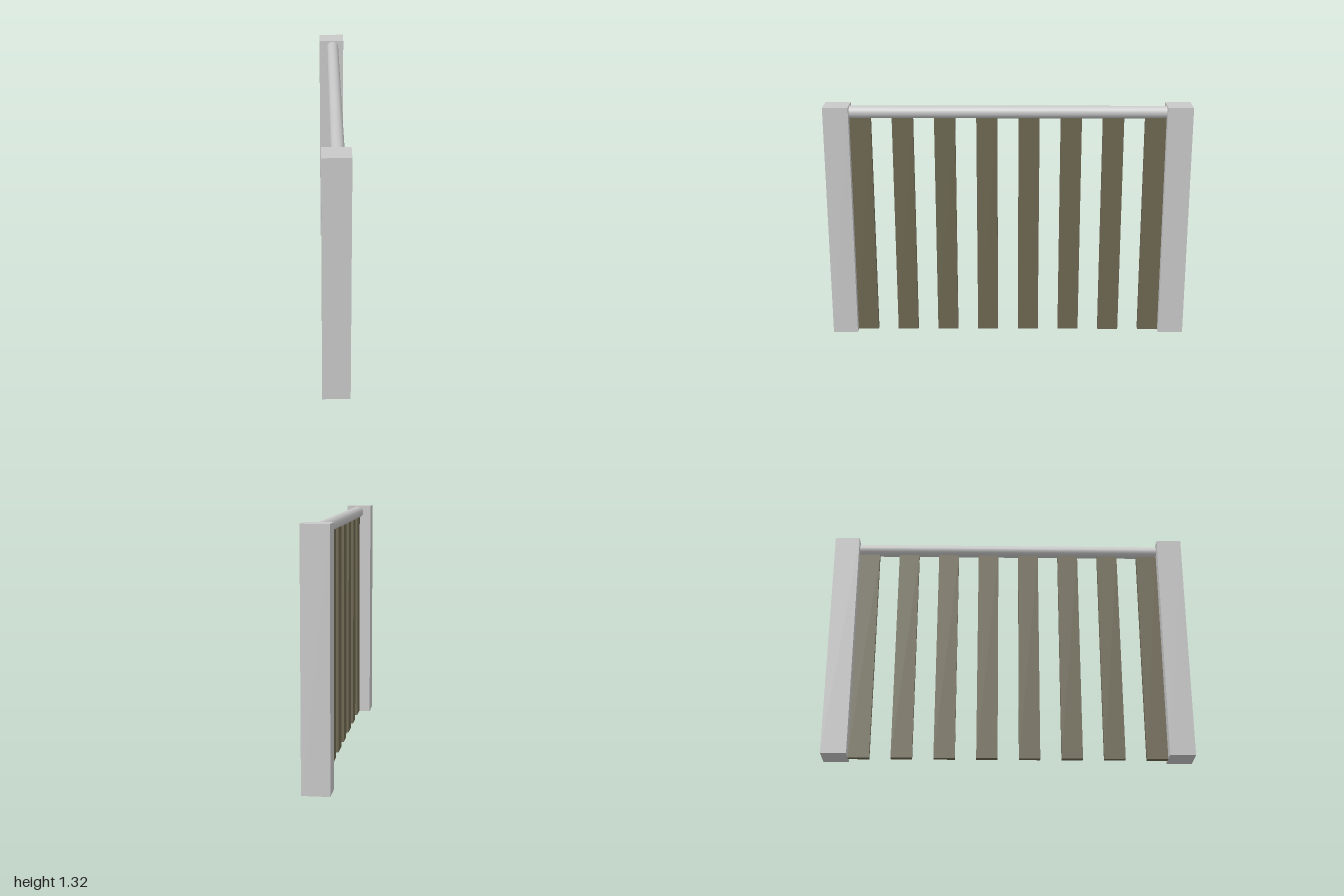
import * as THREE from 'three';

export function createModel() {
  const group = new THREE.Group();
  const postGrey = new THREE.MeshStandardMaterial({ color: 0xc8c8c8 });
  postGrey.name = 'light grey';
  const slatBrown = new THREE.MeshStandardMaterial({ color: 0x6d6751 });
  slatBrown.name = 'olive brown';

  const add = (name, geometry, material, x, y, z) => {
    const mesh = new THREE.Mesh(geometry, material);
    mesh.name = name;
    mesh.position.set(x, y, z);
    group.add(mesh);
    return mesh;
  };

  const postHeight = 1.317, postSize = 0.138, postWidth = 0.144;
  const inner = 1 - postSize;   // inner face of each post
  const railX = 0.007;          // rail and slats sit slightly off the post centre

  // Square end posts
  const postGeometry = new THREE.BoxGeometry(postWidth, postHeight, postSize);
  for (const side of [1, -1]) {
    add(side > 0 ? 'frontPost' : 'backPost', postGeometry, postGrey,
      0, postHeight / 2, side * (1 - postSize / 2));
  }

  // Round top rail between the posts
  const railGeometry = new THREE.CylinderGeometry(0.034, 0.034, 2 * inner, 32);
  railGeometry.rotateX(Math.PI / 2);
  add('topRail', railGeometry, postGrey, railX, 1.279, 0);

  // Evenly spaced flat slats, the outer two touching the posts
  const slatCount = 8, slatWidth = 0.115, slatHeight = 1.255;
  const slatGeometry = new THREE.BoxGeometry(0.03, slatHeight, slatWidth);
  const firstZ = inner - slatWidth / 2;
  for (let i = 0; i < slatCount; i++) {
    const z = firstZ * (1 - (2 * i) / (slatCount - 1));
    add('slat' + (i + 1), slatGeometry, slatBrown, railX + 0.003, slatHeight / 2, z);
  }

  return group;
}
